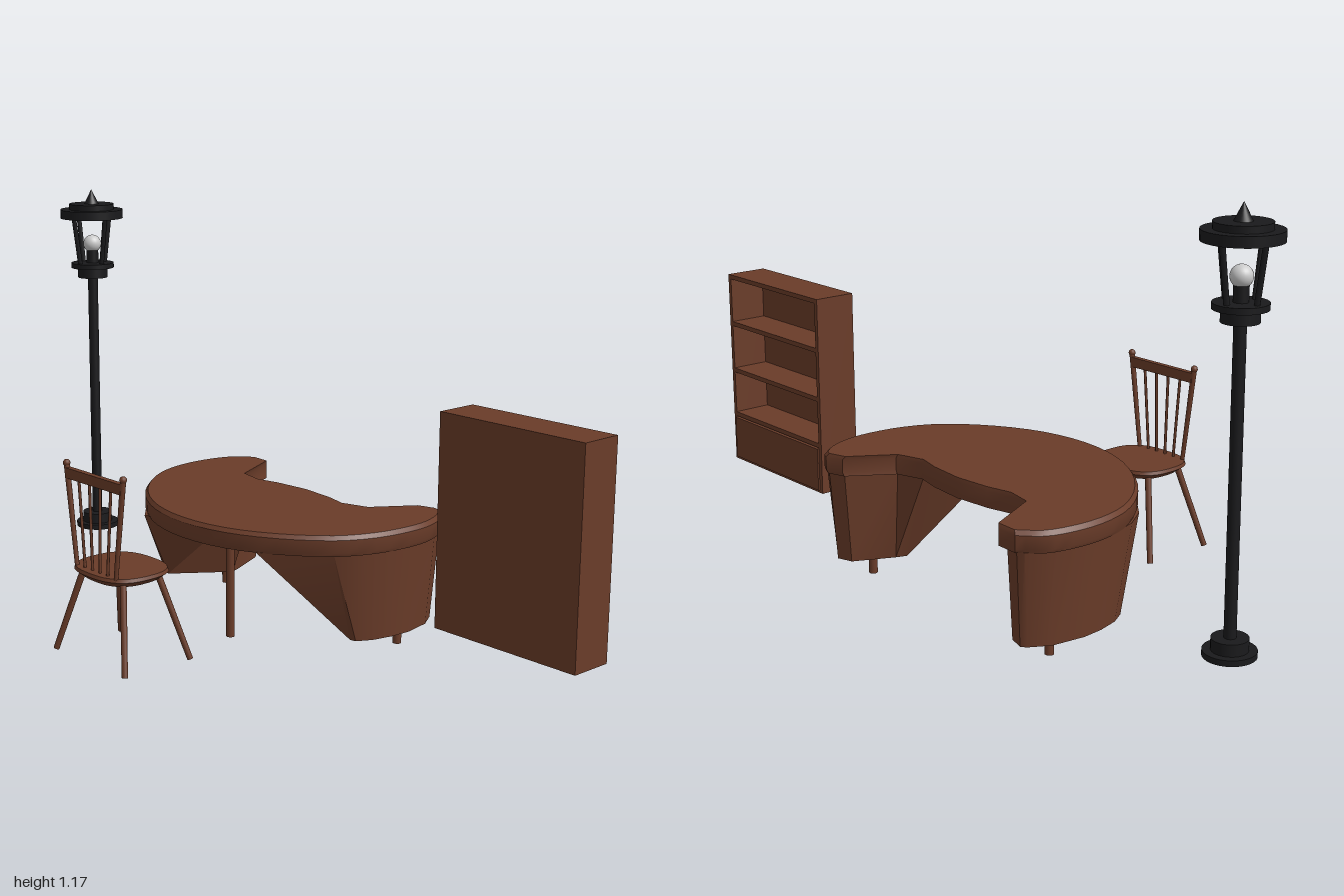
import * as THREE from 'three';
import { toCreasedNormals } from 'three/addons/utils/BufferGeometryUtils.js';

const wood = new THREE.MeshStandardMaterial({ color: 0x6a3c29 });
const iron = new THREE.MeshStandardMaterial({ color: 0x1a1a1c });
const glass = new THREE.MeshStandardMaterial({ color: 0xcccccc });

function add(parent, name, geometry, material, x = 0, y = 0, z = 0) {
  const mesh = new THREE.Mesh(geometry, material);
  mesh.name = name;
  mesh.position.set(x, y, z);
  parent.add(mesh);
  return mesh;
}

function box(parent, name, x0, x1, y0, y1, z0, z1) {
  return add(parent, name, new THREE.BoxGeometry(x1 - x0, y1 - y0, z1 - z0), wood,
    (x0 + x1) / 2, (y0 + y1) / 2, (z0 + z1) / 2);
}

// Round bar from point a to point b
function rod(parent, name, a, b, r0, r1, material, sides = 12) {
  const p = new THREE.Vector3(...a), q = new THREE.Vector3(...b);
  const d = q.clone().sub(p);
  const mesh = add(parent, name, new THREE.CylinderGeometry(r1, r0, d.length(), sides), material);
  mesh.position.copy(p).addScaledVector(d, 0.5);
  mesh.quaternion.setFromUnitVectors(new THREE.Vector3(0, 1, 0), d.normalize());
  return mesh;
}

// Closed solid through stacked outlines: rings = [{ y, pts: [[x, z], ...] }, ...] from bottom to top
function loft(rings, crease = 0.55) {
  const flip = THREE.ShapeUtils.area(rings[0].pts.map(p => new THREE.Vector2(...p))) < 0;
  const levels = rings.map(({ y, pts }) => {
    const v = pts.map(([x, z]) => new THREE.Vector3(x, y, z));
    return flip ? v.reverse() : v;
  });
  const out = [];
  const tri = (...vs) => vs.forEach(v => out.push(v.x, v.y, v.z));
  for (let k = 0; k + 1 < levels.length; k++) {
    const lo = levels[k], hi = levels[k + 1];
    for (let i = 0; i < lo.length; i++) {
      const j = (i + 1) % lo.length;
      tri(lo[i], hi[i], lo[j]);
      tri(lo[j], hi[i], hi[j]);
    }
  }
  [levels[0], levels.at(-1)].forEach((ring, top) => {
    const flat = ring.map(v => new THREE.Vector2(v.x, v.z));
    for (const f of THREE.ShapeUtils.triangulateShape(flat, [])) {
      const up = THREE.ShapeUtils.area(f.map(i => flat[i])) < 0;
      const [a, b, c] = f.map(i => ring[i]);
      if (up === (top === 1)) tri(a, b, c); else tri(a, c, b);
    }
  });
  const g = new THREE.BufferGeometry();
  g.setAttribute('position', new THREE.Float32BufferAttribute(out, 3));
  return toCreasedNormals(g, crease);
}

const scaled = (pts, s, cx, cz) => pts.map(([x, z]) => [cx + (x - cx) * s, cz + (z - cz) * s]);

function createDesk() {
  const desk = new THREE.Group();
  desk.name = 'desk';
  const mid = -0.088;

  // Crescent top: smooth outer sweep, faceted inner side
  const sweep = new THREE.CatmullRomCurve3([
    [0.46, -0.48], [0.41, -0.53], [0.34, -0.552], [0.25, -0.557], [0.15, -0.535], [0.05, -0.475],
    [-0.05, -0.37], [-0.12, -0.235], [-0.145, -0.09], [-0.125, 0.06], [-0.06, 0.195], [0.04, 0.31],
    [0.14, 0.362], [0.25, 0.381], [0.33, 0.376], [0.4, 0.35], [0.437, 0.322],
  ].map(([x, z]) => new THREE.Vector3(x, 0, z)));
  const outline = sweep.getPoints(48).map(p => [p.x, p.z]);
  outline.push([0.446, 0.302], [0.43, 0.25], [0.312, 0.17], [0.287, 0.09], [0.304, 0.02], [0.314, mid],
    [0.304, -0.196], [0.287, -0.27], [0.302, -0.345], [0.458, -0.418]);
  add(desk, 'desktop', loft([
    { y: 0.31, pts: scaled(outline, 0.99, 0.2, mid) },
    { y: 0.32, pts: outline },
    { y: 0.355, pts: outline },
    { y: 0.366, pts: scaled(outline, 0.978, 0.2, mid) },
  ]), wood);

  // Tapering pedestals, points as [x, distance from the desk's middle line]
  const upper = [[0.424, 0.338], [0.438, 0.388], [0.43, 0.408], [0.37, 0.445], [0.28, 0.462], [0.19, 0.455],
    [0.11, 0.43], [0.045, 0.39], [-0.09, 0.235], [0.283, 0.178], [0.306, 0.26]];
  const lower = [[0.408, 0.338], [0.422, 0.382], [0.412, 0.396], [0.36, 0.428], [0.28, 0.443], [0.22, 0.439],
    [0.16, 0.425], [0.118, 0.402], [0.114, 0.385], [0.27, 0.272], [0.3, 0.283]];
  for (const side of [1, -1]) {
    const place = pts => pts.map(([x, w]) => [x + (side < 0 && x > 0.35 ? 0.014 : 0), mid + side * w]);
    add(desk, 'pedestal', loft([{ y: 0.062, pts: place(lower) }, { y: 0.312, pts: place(upper) }]), wood);
  }

  // Three round legs
  for (const [x, z, top] of [[0.008, -0.068, 0.315], [0.318, 0.275, 0.07], [0.318, -0.445, 0.07]])
    rod(desk, 'deskLeg', [x, 0, z], [x, top, z], 0.012, 0.012, wood, 16);
  return desk;
}

function createBookcase() {
  const g = new THREE.Group();
  g.name = 'bookcase';
  const x0 = 0.168, x1 = 0.29, y0 = 0.15, y1 = 0.72, z0 = 0.548, z1 = 1, t = 0.013;
  box(g, 'backPanel', x0, x0 + t, y0, y1, z0, z1);
  box(g, 'sidePanel', x0, x1, y0, y1, z0, z0 + t);
  box(g, 'sidePanel', x0, x1, y0, y1, z1 - t, z1);
  for (const y of [y0, 0.285, 0.422, 0.565, y1 - t])
    box(g, 'shelf', x0 + t, x1, y, y + t, z0 + t, z1 - t);
  // Closed front on the lowest compartment
  box(g, 'lowerDoor', x1 - 0.012, x1 + 0.005, y0 + 0.008, 0.282, z0 + t, z1 - t);
  return g;
}

function createChair() {
  const g = new THREE.Group();
  g.name = 'chair';
  const cx = -0.35, cz = -0.092;

  // Rounded-square seat with an undercut edge
  const seat = [];
  for (let i = 0; i < 40; i++) {
    const a = i / 40 * Math.PI * 2, c = Math.cos(a), s = Math.sin(a);
    const r = Math.pow(Math.abs(c) ** 2.7 + Math.abs(s) ** 2.7, -1 / 2.7);
    seat.push([cx + 0.108 * r * c, cz + 0.123 * r * s]);
  }
  add(g, 'seat', loft([
    { y: 0.248, pts: scaled(seat, 0.8, cx, cz) },
    { y: 0.266, pts: seat },
    { y: 0.275, pts: scaled(seat, 0.97, cx, cz) },
  ]), wood);

  // Splayed legs and outer back posts with round tips
  for (const s of [-1, 1]) {
    rod(g, 'backLeg', [-0.41, 0.258, cz + s * 0.085], [-0.459, 0.03, cz + s * 0.15], 0.009, 0.008, wood);
    rod(g, 'frontLeg', [-0.295, 0.258, cz + s * 0.085], [-0.242, 0.03, cz + s * 0.15], 0.009, 0.008, wood);
    rod(g, 'backPost', [-0.432, 0.265, cz + s * 0.083], [-0.432, 0.545, cz + s * 0.121], 0.006, 0.008, wood);
    add(g, 'postTip', new THREE.SphereGeometry(0.01, 12, 8), wood, -0.432, 0.544, cz + s * 0.121);
  }
  for (let i = -1.5; i <= 1.5; i++)
    rod(g, 'spindle', [-0.432, 0.265, cz + i * 0.032], [-0.432, 0.515, cz + i * 0.046], 0.004, 0.004, wood, 8);
  box(g, 'topRail', -0.44, -0.424, 0.505, 0.533, cz - 0.118, cz + 0.118);
  return g;
}

function createLamp() {
  const g = new THREE.Group();
  g.name = 'streetLamp';
  g.position.set(0.176, 0, -0.906);
  // Stacked round pieces: name, bottom, top, lower radius, upper radius
  for (const [name, y0, y1, r0, r1] of [
    ['baseFoot', 0.11, 0.125, 0.065, 0.065],
    ['baseCollar', 0.125, 0.155, 0.045, 0.045],
    ['pole', 0.155, 0.905, 0.015, 0.015],
    ['neck', 0.902, 0.932, 0.045, 0.045],
    ['lanternFloor', 0.932, 0.947, 0.065, 0.065],
    ['bulbSocket', 0.947, 0.988, 0.018, 0.018],
    ['roofRim', 1.084, 1.11, 0.095, 0.095],
    ['roofCap', 1.11, 1.127, 0.068, 0.068],
    ['finial', 1.127, 1.17, 0.022, 0],
  ]) add(g, name, new THREE.CylinderGeometry(r1, r0, y1 - y0, 32), iron, 0, (y0 + y1) / 2, 0);
  add(g, 'bulb', new THREE.SphereGeometry(0.027, 24, 16), glass, 0, 1.005, 0);
  // Four leaning lantern bars
  for (let i = 0; i < 4; i++) {
    const c = Math.cos(i * Math.PI / 2), s = Math.sin(i * Math.PI / 2);
    rod(g, 'lanternBar', [c * 0.046, 0.943, s * 0.046], [c * 0.067, 1.088, s * 0.067], 0.007, 0.007, iron, 8);
  }
  return g;
}

export function createModel() {
  const model = new THREE.Group();
  model.name = 'officeSet';
  model.add(createDesk(), createBookcase(), createChair(), createLamp());
  return model;
}
